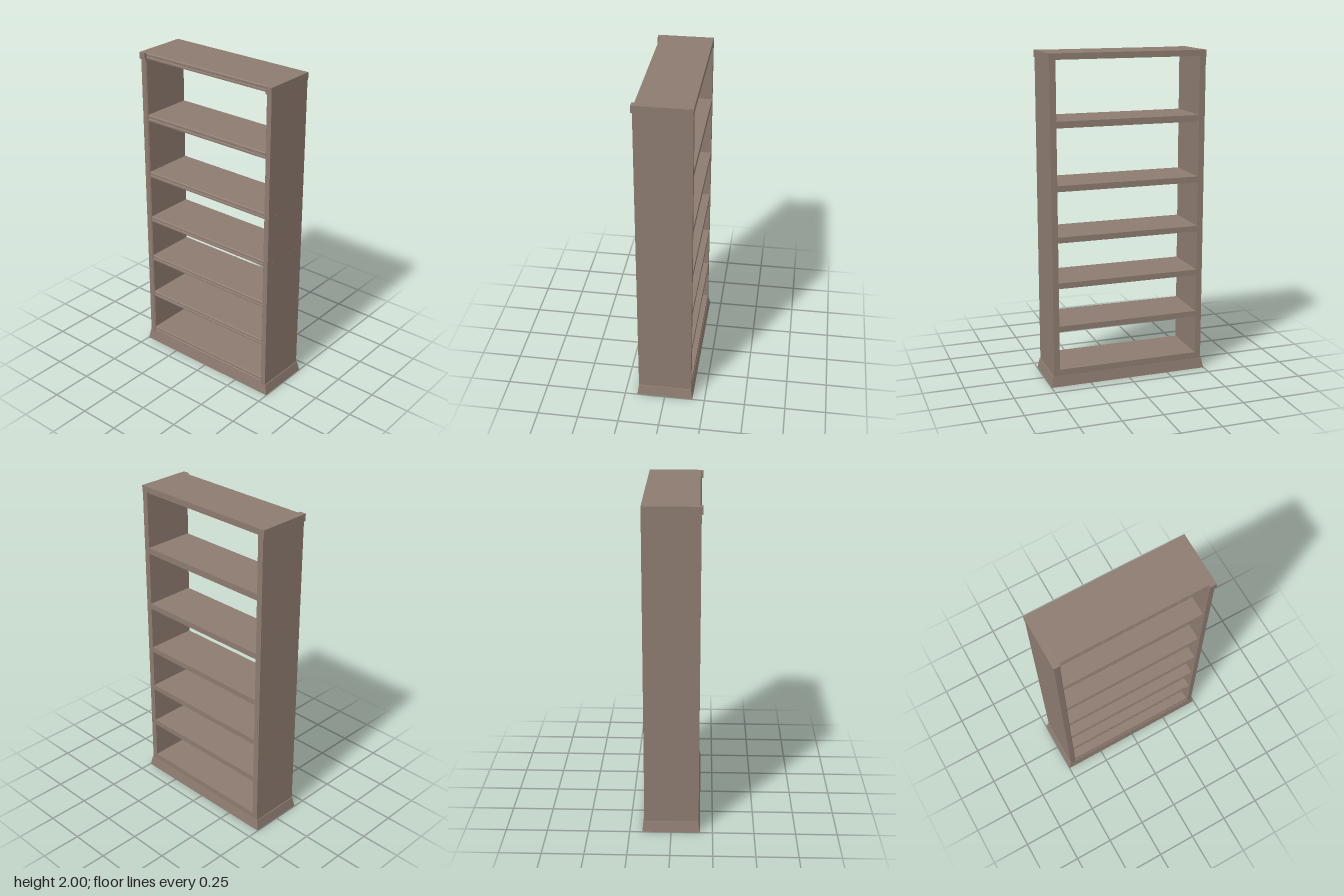
import * as THREE from 'three';

export function createModel() {
  const model = new THREE.Group();
  model.name = 'bookcase';
  const wood = new THREE.MeshStandardMaterial({ color: 0x8d7b70 });
  wood.name = 'brown wood';

  const add = (name, geometry, x = 0, y = 0, z = 0) => {
    const mesh = new THREE.Mesh(geometry, wood);
    mesh.name = name;
    mesh.position.set(x, y, z);
    model.add(mesh);
    return mesh;
  };
  const extrude = (points, depth) => new THREE.ExtrudeGeometry(
    new THREE.Shape(points.map(([a, b]) => new THREE.Vector2(a, b))),
    { depth, bevelEnabled: false });

  // Flared plinth: a box whose lower corners spread outwards
  let plinth = new THREE.BoxGeometry(0.97, 0.065, 0.328).toNonIndexed();
  const p = plinth.attributes.position;
  for (let i = 0; i < p.count; i++) {
    if (p.getY(i) < 0) p.setXYZ(i, Math.sign(p.getX(i)) * 0.498, p.getY(i), Math.sign(p.getZ(i)) * 0.174);
  }
  plinth.computeVertexNormals();
  add('plinth', plinth, 0, 0.0325, 0);

  // Side panels with a small chamfer on the inner front edge, and end caps
  for (const s of [1, -1]) {
    const plan = [[0.48, 0.162], [0.48, -0.165], [0.449, -0.165], [0.443, -0.158], [0.443, 0.162]];
    const panel = extrude(plan.map(([x, y]) => [s * x, y]), 1.9);
    panel.rotateX(-Math.PI / 2);
    const side = s > 0 ? 'left' : 'right';
    add(side + 'Panel', panel, 0, 0.06, 0);
    add(side + 'TopCap', new THREE.BoxGeometry(0.041, 0.043, 0.335), s * 0.4635, 1.9785, 0.0055);
  }

  // Shelves with a stepped moulding along the front edge
  const shelfGeometry = (h) => {
    const profile = [
      [0.162, 0], [-0.16, 0], [-0.16, h * 0.28], [-0.155, h * 0.36],
      [-0.155, h * 0.5], [-0.16, h * 0.58], [-0.16, h * 0.84], [-0.156, h], [0.162, h],
    ];
    return extrude(profile, 0.888).rotateY(Math.PI / 2);
  };
  const levels = [[0.065, 0.105], [0.345, 0.38], [0.615, 0.65], [0.895, 0.93],
    [1.203, 1.239], [1.575, 1.614], [1.964, 2]];
  levels.forEach(([low, high], i) => {
    const name = i === 0 ? 'bottomShelf' : i === levels.length - 1 ? 'topBoard' : 'shelf' + i;
    add(name, shelfGeometry(high - low), -0.444, low, 0);
  });

  // Small nail heads where the shelves meet the side panels
  const nails = [
    [0.36, [0.145, 0.11, 0.06, -0.02, -0.085, -0.14]],
    [0.632, [0.14, -0.02, -0.06, -0.135]],
    [0.915, [0.12, 0.07, -0.01, -0.04, -0.1, -0.14]],
    [1.21, [0.12, 0.09, 0.015, -0.05, -0.13]],
    [1.592, [0.125, -0.005, -0.145]],
  ];
  const nail = new THREE.CylinderGeometry(0.003, 0.003, 0.006, 6).rotateZ(Math.PI / 2);
  for (const [y, zs] of nails) {
    for (const z of zs) for (const s of [1, -1]) add('nailHead', nail, s * 0.479, y, z);
  }
  return model;
}
